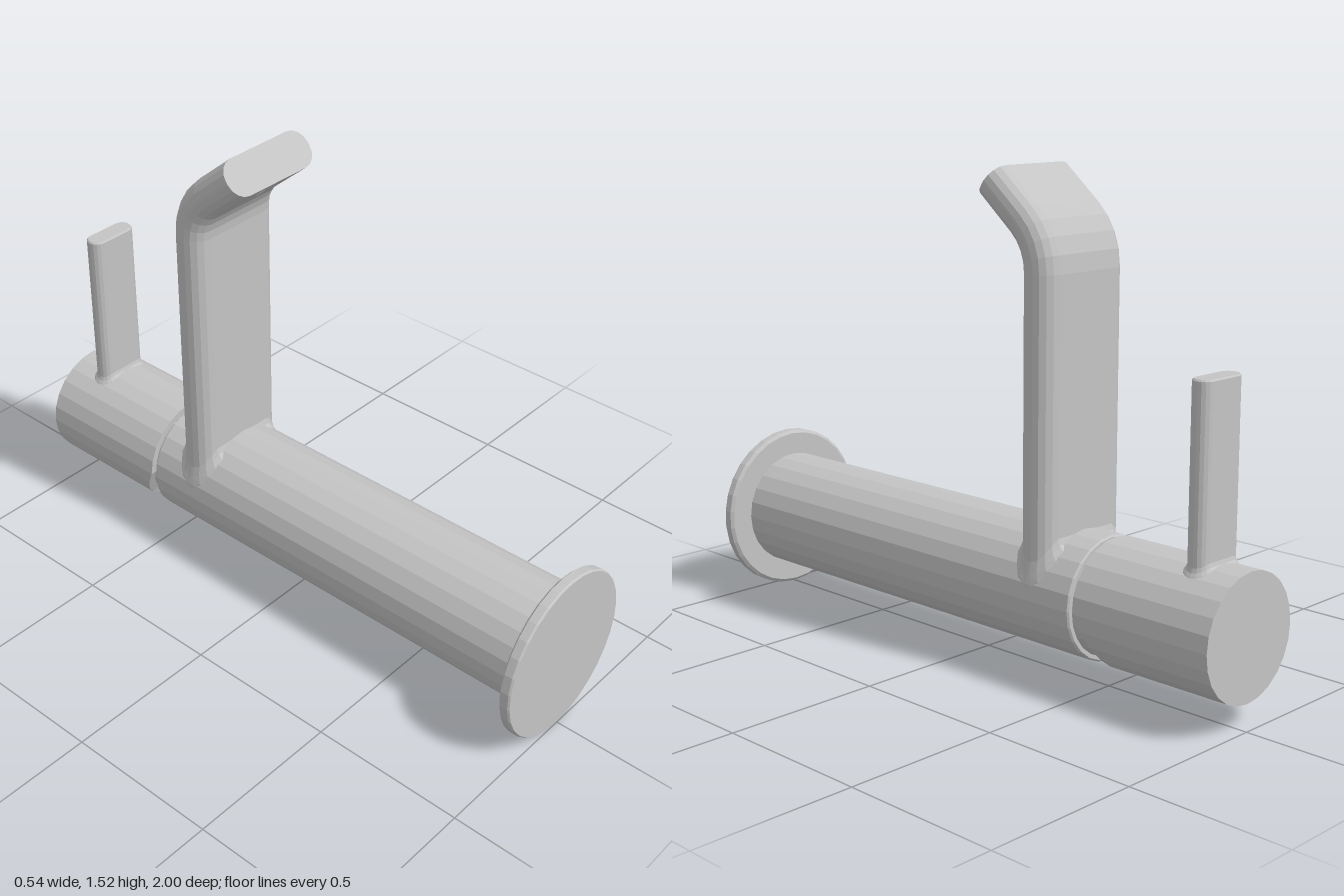
import * as THREE from 'three';

const AXIS_Y = 0.275; // height of the horizontal body axis
const BODY_R = 0.19;

// Faceted normals
function facet(geo) {
  const g = geo.index ? geo.toNonIndexed() : geo;
  g.computeVertexNormals();
  return g;
}

// Lathe round the body axis; profile is [radius, z] from back to front
function turned(profile, sides) {
  const geo = new THREE.LatheGeometry(profile.map(([r, z]) => new THREE.Vector2(r, z)), sides);
  geo.rotateX(Math.PI / 2).translate(0, AXIS_Y, 0);
  return facet(geo);
}

// Rounded rectangle, half sizes hw by hd, as [x, w] pairs
function outline(hw, hd, r, steps = 4) {
  const pts = [];
  for (let q = 0; q < 4; q++) {
    const cx = (q === 0 || q === 3 ? 1 : -1) * (hw - r);
    const cw = (q < 2 ? 1 : -1) * (hd - r);
    for (let i = 0; i <= steps; i++) {
      const a = (q + i / steps) * Math.PI / 2;
      pts.push([cx + r * Math.cos(a), cw + r * Math.sin(a)]);
    }
  }
  return pts;
}

// Skin over rings of points, closed at the last ring
function loft(rings) {
  const n = rings[0].length, pos = rings.flat().flatMap((p) => p.toArray()), idx = [];
  for (let i = 0; i < rings.length - 1; i++) {
    for (let j = 0; j < n; j++) {
      const k = (j + 1) % n, a = i * n + j, b = i * n + k;
      idx.push(a, a + n, b + n, a, b + n, b);
    }
  }
  const last = (rings.length - 1) * n;
  for (let j = 1; j < n - 1; j++) idx.push(last, last + j + 1, last + j);
  const geo = new THREE.BufferGeometry();
  geo.setAttribute('position', new THREE.Float32BufferAttribute(pos, 3));
  geo.setIndex(idx);
  return facet(geo);
}

// Flared foot rings that follow the round body
function footRings(hw, hd, r, z, flare, maxSide) {
  return [[1, -0.01], [0.6, 0.1 * flare], [0.22, 0.5 * flare], [0, 1.2 * flare]].map(([f, h]) => {
    const o = f * flare;
    return outline(hw + Math.min(o, maxSide), hd + o, r + Math.min(o, maxSide)).map(([x, w]) =>
      new THREE.Vector3(x, AXIS_Y + Math.sqrt(Math.max(0, BODY_R ** 2 - x * x)) + h, z + w));
  });
}

export function createModel() {
  const model = new THREE.Group();
  const metal = new THREE.MeshStandardMaterial({ color: 0xc4c4c4 });
  metal.name = 'satin metal';
  const add = (name, geo) => {
    const mesh = new THREE.Mesh(geo, metal);
    mesh.name = name;
    model.add(mesh);
    return mesh;
  };

  // Wall flange, main barrel and recessed neck
  add('wallFlange', turned([[0, 0.96], [0.262, 0.96], [0.272, 0.968], [0.272, 0.994], [0.268, 1], [0, 1]], 30));
  add('barrel', turned([[0, -0.505], [0.185, -0.505], [BODY_R, -0.5], [BODY_R, 0.965]], 24));
  add('neck', turned([[0, -0.6], [0.145, -0.6], [0.16, -0.56], [0.174, -0.5]], 24));

  // Handle cap, its front edge cut back towards the underside
  const cap = new THREE.CylinderGeometry(BODY_R, BODY_R, 0.48, 24, 1);
  cap.rotateX(Math.PI / 2).translate(0, AXIS_Y, -0.76);
  const p = cap.attributes.position;
  for (let i = 0; i < p.count; i++) {
    if (p.getZ(i) > -0.6) {
      const cut = THREE.MathUtils.clamp((0.28 - p.getY(i)) / 0.15, 0, 1);
      p.setZ(i, -0.52 - 0.065 * cut);
    }
  }
  add('handleCap', facet(cap));

  // Flat spout: flared foot, straight riser, forward bend and straight tip
  const hw = 0.173, hd = 0.06, r = 0.055, bendR = 0.19, bend = THREE.MathUtils.degToRad(50);
  const section = outline(hw, hd, r);
  const spoutZ = -0.34, bendY = 1.225;
  const ringAt = (a, along) => {
    const z = spoutZ + bendR * (1 - Math.cos(a)) + along * Math.sin(a);
    const y = bendY + bendR * Math.sin(a) + along * Math.cos(a);
    return section.map(([x, w]) => new THREE.Vector3(x, y - w * Math.sin(a), z + w * Math.cos(a)));
  };
  const spout = footRings(hw, hd, r, spoutZ, 0.028, 0.012);
  for (let i = 0; i <= 4; i++) spout.push(ringAt(bend * i / 4, 0));
  spout.push(ringAt(bend, 0.162));
  add('spout', loft(spout));

  // Small outlet rim under the spout tip
  const outlet = add('outletRim', new THREE.TorusGeometry(0.016, 0.004, 6, 16));
  outlet.position.set(0, 1.367, -0.187);
  outlet.lookAt(0, 1.367 - Math.sin(bend), -0.187 + Math.cos(bend));

  // Lever blade
  const lever = footRings(0.087, 0.033, 0.031, -0.865, 0.016, 0.016);
  for (const [y, s] of [[0.98, 0], [0.985, 0.004]]) {
    lever.push(outline(0.087 - s, 0.033 - s, 0.031 - s).map(([x, w]) => new THREE.Vector3(x, y, -0.865 + w)));
  }
  add('lever', loft(lever));

  // Set screw rim under the handle cap
  const screw = add('setScrewRim', new THREE.TorusGeometry(0.026, 0.004, 6, 16));
  screw.rotation.x = Math.PI / 2;
  screw.position.set(0, AXIS_Y - BODY_R + 0.001, -0.72);

  return model;
}
